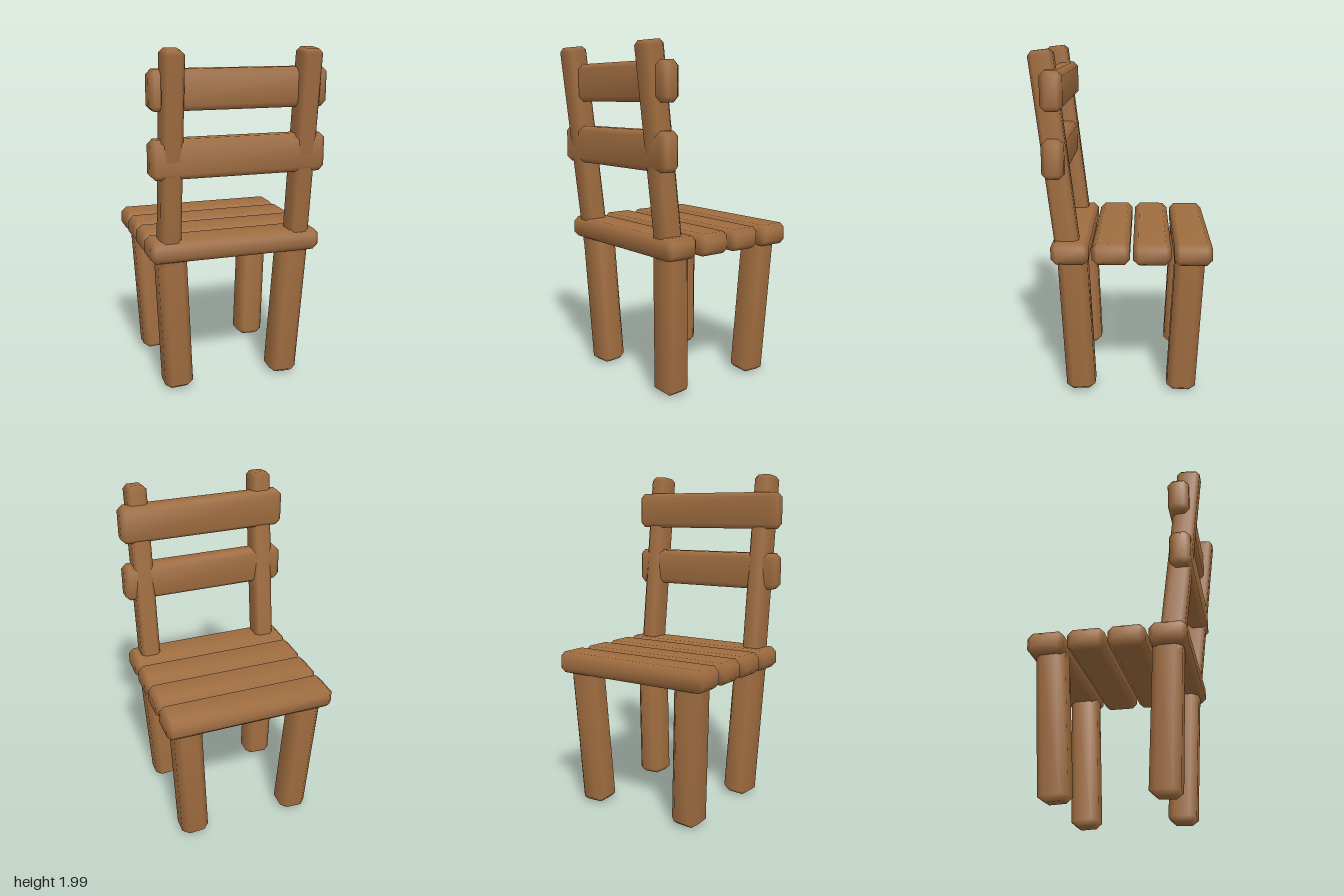
import * as THREE from 'three';
import { mergeVertices } from 'three/addons/utils/BufferGeometryUtils.js';
import { ConvexGeometry } from 'three/addons/geometries/ConvexGeometry.js';

// Box with one chamfer along every edge and softly blended normals
function chamferBox(w, h, d, cx, cy = cx, cz = cx) {
  const [x, y, z] = [w / 2, h / 2, d / 2];
  const points = [];
  for (const sx of [-1, 1]) for (const sy of [-1, 1]) for (const sz of [-1, 1]) {
    points.push(
      new THREE.Vector3(sx * x, sy * (y - cy), sz * (z - cz)),
      new THREE.Vector3(sx * (x - cx), sy * y, sz * (z - cz)),
      new THREE.Vector3(sx * (x - cx), sy * (y - cy), sz * z)
    );
  }
  const hull = new ConvexGeometry(points);
  hull.deleteAttribute('normal');
  const geometry = mergeVertices(hull, 1e-5);
  geometry.computeVertexNormals();
  return geometry;
}

export function createModel() {
  const chair = new THREE.Group();
  chair.name = 'chair';
  const wood = new THREE.MeshStandardMaterial({ color: 0xa06d40 });
  wood.name = 'brown wood';

  function add(name, geometry, x, y, z) {
    const mesh = new THREE.Mesh(geometry, wood);
    mesh.name = name;
    mesh.position.set(x, y, z);
    chair.add(mesh);
    return mesh;
  }

  // Straight beam running from a bottom point to a top point
  function beam(name, bottom, top, w, d, ...chamfer) {
    const axis = top.clone().sub(bottom);
    const mid = bottom.clone().add(top).multiplyScalar(0.5);
    const mesh = add(name, chamferBox(w, axis.length(), d, ...chamfer), mid.x, mid.y, mid.z);
    mesh.quaternion.setFromUnitVectors(new THREE.Vector3(0, 1, 0), axis.normalize());
  }

  // Four seat planks with narrow gaps
  const plank = chamferBox(1.016, 0.127, 0.213, 0.03);
  for (let i = 0; i < 4; i++) add('seatPlank', plank, 0, 0.883, -0.402 + i * 0.231);

  // Two upright boards across the backrest
  const board = chamferBox(1.016, 0.22, 0.124, 0.03);
  for (const y of [1.413, 1.781]) add('backBoard', board, 0, y, 0.373);

  for (const side of [-1, 1]) {
    const v = (x, y, z) => new THREE.Vector3(side * x, y, z);
    // Leaning backrest post
    beam('backPost', v(0.387, 0.78, 0.293), v(0.387, 1.993, 0.436), 0.12, 0.137, 0.024);
    // Legs converge slightly toward the floor
    beam('postSideLeg', v(0.331, 0.01, 0.243), v(0.377, 0.9, 0.284), 0.17, 0.17, 0.038, 0.03, 0.038);
    beam('openSideLeg', v(0.331, 0.01, -0.349), v(0.377, 0.9, -0.39), 0.17, 0.17, 0.038, 0.03, 0.038);
  }
  return chair;
}
